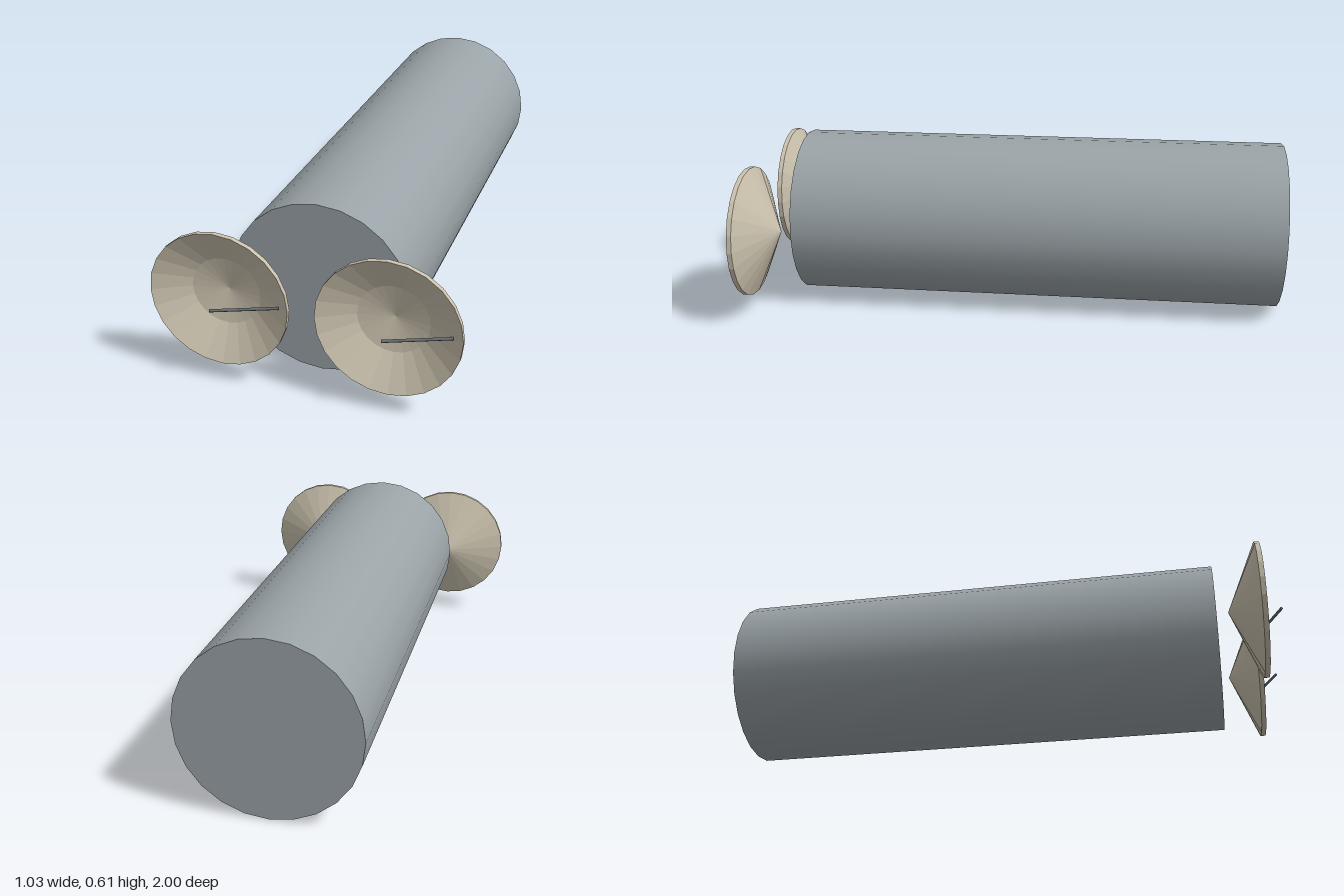
import * as THREE from 'three';

const SIDES = 24;
const AXIS_Y = 0.304;
const DISH_X = 0.28;

const metal = new THREE.MeshStandardMaterial({ name: 'grey metal', color: 0x9aa3a7 });
const cream = new THREE.MeshStandardMaterial({ name: 'cream dish', color: 0xcbc2ae });
const dark = new THREE.MeshStandardMaterial({ name: 'dark rod', color: 0x666b70 });

function part(name, geometry, material) {
  const mesh = new THREE.Mesh(geometry, material);
  mesh.name = name;
  return mesh;
}

// Long smooth drum lying along z
function makeBody() {
  const length = 1.775;
  const geometry = new THREE.CylinderGeometry(AXIS_Y, AXIS_Y, length, SIDES);
  geometry.rotateX(Math.PI / 2).translate(0, AXIS_Y, -1 + length / 2);
  return part('body', geometry, metal);
}

// Faceted dish: conical back, thin rim, two-step hollow front (radius, z)
function makeDish() {
  const profile = [[0, 0.815], [0.236, 0.918], [0.236, 0.935], [0.118, 0.872], [0, 0.85]]
    .map(([r, z]) => new THREE.Vector2(r, z));
  const geometry = new THREE.LatheGeometry(profile, SIDES).toNonIndexed();
  geometry.rotateX(Math.PI / 2);
  geometry.computeVertexNormals();
  return part('dish', geometry, cream);
}

// Thin feed rod from the dish focus out to its left edge
function makeFeedRod() {
  const start = new THREE.Vector3(0, 0, 0.996);
  const end = new THREE.Vector3(0.2, 0, 0.918);
  const along = end.clone().sub(start);
  const rod = part('feedRod', new THREE.CylinderGeometry(0.005, 0.005, along.length(), 8), dark);
  rod.position.copy(start).add(end).multiplyScalar(0.5);
  rod.quaternion.setFromUnitVectors(new THREE.Vector3(0, 1, 0), along.normalize());
  return rod;
}

export function createModel() {
  const model = new THREE.Group();
  model.name = 'dishDrum';
  model.add(makeBody());

  // Two identical antennas side by side at the front
  for (const [name, x] of [['leftAntenna', DISH_X], ['rightAntenna', -DISH_X]]) {
    const antenna = new THREE.Group();
    antenna.name = name;
    antenna.add(makeDish(), makeFeedRod());
    antenna.position.set(x, AXIS_Y, 0);
    model.add(antenna);
  }
  return model;
}
